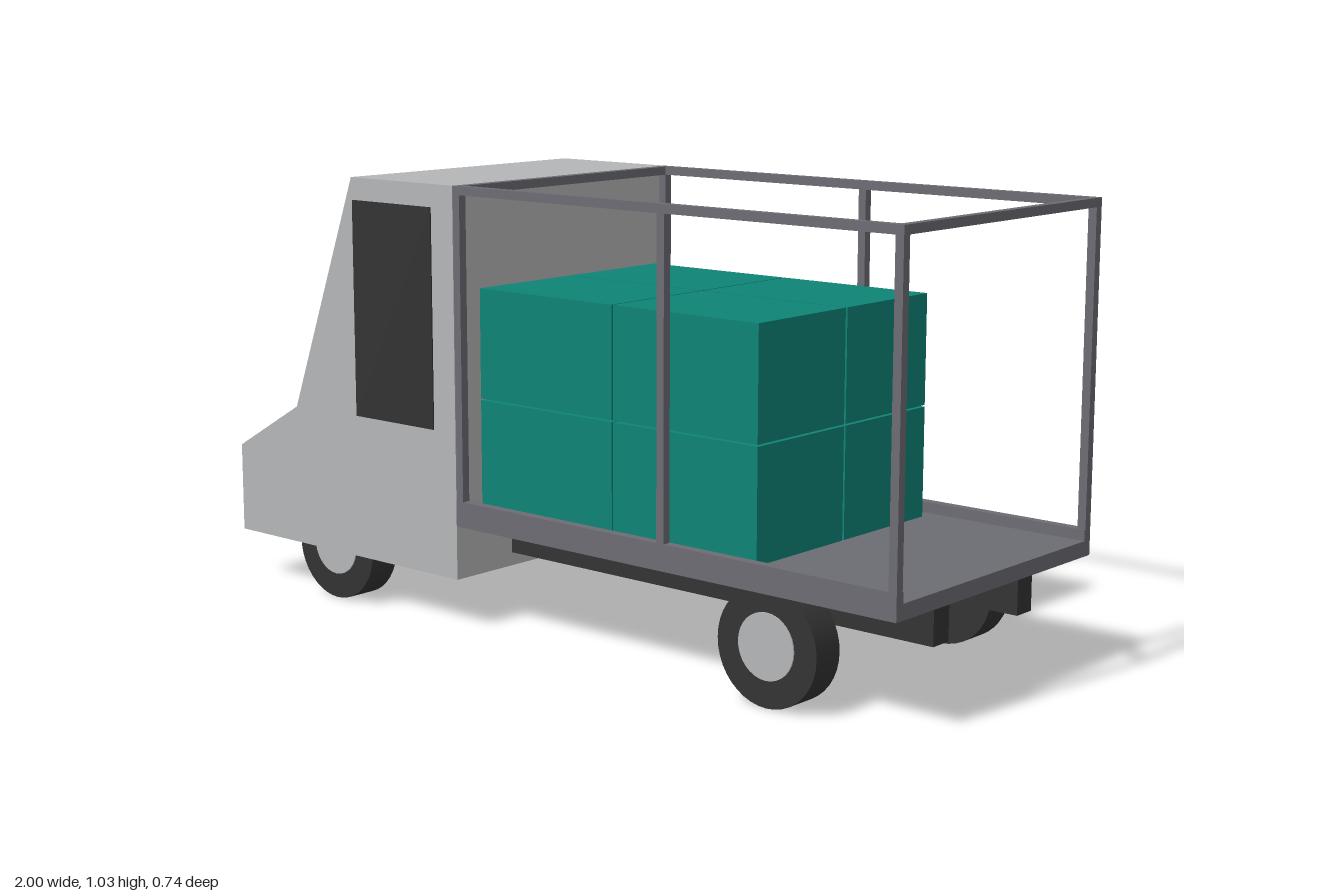
import * as THREE from 'three';

const paint = (name, color) => {
  const m = new THREE.MeshStandardMaterial({ color });
  m.name = name;
  return m;
};

export function createModel() {
  const bodyGrey = paint('body grey', 0xb5b6b8);
  const frameGrey = paint('frame grey', 0x6c6c73);
  const black = paint('black', 0x333333);
  const teal = paint('cargo teal', 0x0e8476);
  const truck = new THREE.Group();
  truck.name = 'truck';

  const add = (name, geometry, material) => {
    const mesh = new THREE.Mesh(geometry, material);
    mesh.name = name;
    truck.add(mesh);
    return mesh;
  };
  // Box given by its lower and upper corners
  const box = (name, material, [x0, y0, z0], [x1, y1, z1]) => {
    const mesh = add(name, new THREE.BoxGeometry(x1 - x0, y1 - y0, z1 - z0), material);
    mesh.position.set((x0 + x1) / 2, (y0 + y1) / 2, (z0 + z1) / 2);
    return mesh;
  };
  // Box and its mirror image across z = 0
  const pair = (name, material, [x0, y0, z0], [x1, y1, z1]) => {
    box(name + 'Left', material, [x0, y0, z0], [x1, y1, z1]);
    box(name + 'Right', material, [x0, y0, -z1], [x1, y1, -z0]);
  };

  // Cab: side profile pulled across the width, nose towards -x
  const W = 0.365;
  const profile = [[-1, 0.118], [-0.232, 0.118], [-0.232, 1.03], [-0.57, 1.03], [-0.785, 0.458], [-1, 0.335]];
  const cab = new THREE.ExtrudeGeometry(
    new THREE.Shape(profile.map(([x, y]) => new THREE.Vector2(x, y))),
    { depth: 2 * W, bevelEnabled: false });
  cab.translate(0, 0, -W);
  add('cab', cab, bodyGrey);
  pair('doorWindow', black, [-0.565, 0.463, W - 0.003], [-0.302, 0.977, W + 0.003]);

  // Load bed and chassis
  box('bedFloor', frameGrey, [-0.232, 0.245, -W], [1, 0.28, W]);
  pair('bedSideLip', frameGrey, [-0.232, 0.28, 0.342], [1, 0.305, W]);
  pair('chassisBeam', black, [-0.232, 0.15, 0.13], [0.967, 0.246, 0.185]);

  // Open cargo frame
  const inner = W - 0.02;
  for (const x of [-0.23, 0.376, 0.98]) pair('framePost', frameGrey, [x, 0.28, inner], [x + 0.02, 1.011, W]);
  pair('topRail', frameGrey, [-0.23, 1.01, inner], [1, 1.03, W]);
  for (const x of [-0.23, 0.98]) box('topCrossbar', frameGrey, [x, 1.01, -inner], [x + 0.02, 1.03, inner]);

  // Cargo: two by two by two crates with narrow gaps
  for (const x of [-0.21, 0.197])
    for (const y of [0.28, 0.539])
      pair('crate', teal, [x, y, 0.003], [x + 0.403, y + 0.255, 0.303]);

  // Wheels with outer hub discs
  for (const x of [-0.657, 0.673])
    for (const side of [-1, 1]) {
      const tyre = add('tyre', new THREE.CylinderGeometry(0.13, 0.13, 0.078, 40).rotateX(Math.PI / 2), black);
      tyre.position.set(x, 0.13, side * 0.321);
      const hub = add('hub', new THREE.CylinderGeometry(0.073, 0.073, 0.02, 32).rotateX(Math.PI / 2), bodyGrey);
      hub.position.set(x, 0.133, side * 0.353);
    }

  return truck;
}
